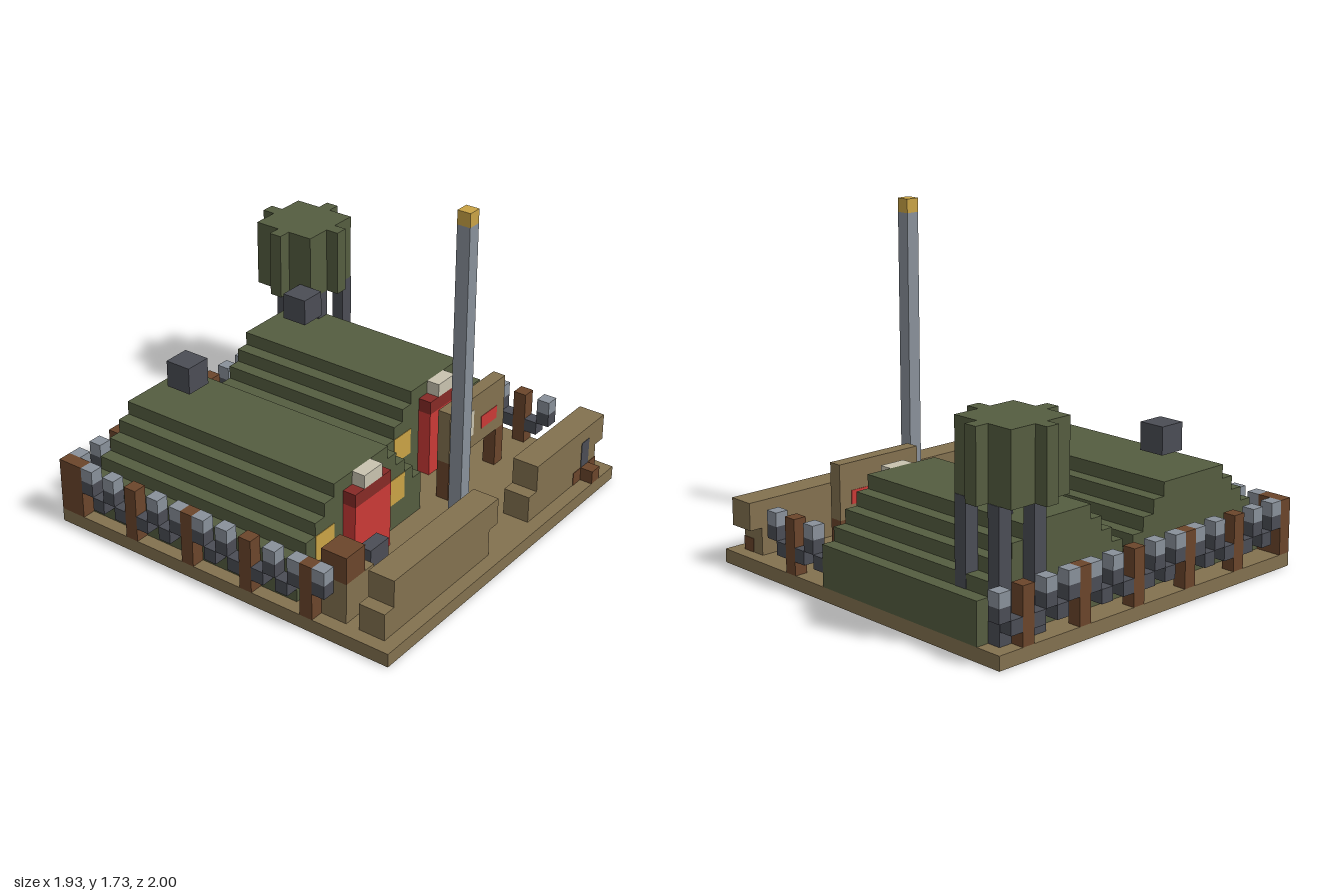
import * as THREE from 'three';

const U = 2 / 29; // edge of one block

const mat = (name, color) => {
  const m = new THREE.MeshStandardMaterial({ color });
  m.name = name;
  return m;
};

export function createModel() {
  const root = new THREE.Group();
  root.name = 'militaryCamp';
  const tan = mat('tan', 0x83714f), green = mat('olive', 0x555d40);
  const dark = mat('darkGrey', 0x4b4d55), light = mat('lightGrey', 0x89919a);
  const brown = mat('brown', 0x6b452b), red = mat('red', 0xcb3a36);
  const maroon = mat('darkRed', 0x862a26), cream = mat('cream', 0xc9c3b0);
  const yellow = mat('yellow', 0xc9a345);

  const group = (name) => {
    const g = new THREE.Group();
    g.name = name;
    root.add(g);
    return g;
  };
  // box between block coordinates; x 0..28, y from the ground, z 0..29 back to front
  const box = (parent, name, m, x0, x1, y0, y1, z0, z1) => {
    const mesh = new THREE.Mesh(
      new THREE.BoxGeometry((x1 - x0) * U, (y1 - y0) * U, (z1 - z0) * U), m);
    mesh.position.set(((x0 + x1) / 2 - 14) * U, (y0 + y1) / 2 * U, ((z0 + z1) / 2 - 14.5) * U);
    mesh.name = name;
    parent.add(mesh);
    return mesh;
  };
  const e = 0.04; // how far painted details stand proud, in blocks

  box(root, 'ground', tan, 0, 28, 0, 1, 1, 29);

  // stepped tents with door, lintel, windows and vent
  const tent = (name, x, front) => {
    const g = group(name);
    for (let i = 0; i < 5; i++) {
      box(g, 'roofStep', green, x + i, x + 14 - i, i ? 3 + i : 1, 4 + i, 3, front);
    }
    box(g, 'door', red, x + 5, x + 9, 1, 6, front, front + 1);
    box(g, 'lintel', maroon, x + 5, x + 9, 6, 7, front, front + 1);
    box(g, 'doorSign', cream, x + 6, x + 8, 7, 8, front, front + 1);
    for (const wx of [2, 10]) {
      box(g, 'window', yellow, x + wx, x + wx + 2, 3, 5, front - 0.05, front + e);
    }
    box(g, 'vent', dark, x + 6, x + 8, 9, 11, 5, 7);
  };
  tent('rightTent', 1, 21);
  tent('leftTent', 14, 18);

  // front sandbag walls, upper course shifted by one block
  for (const [x, end] of [[1, 13], [18, 27]]) {
    const g = group('sandbagWall');
    box(g, 'lowerCourse', tan, x, end, 1, 3, 26, 28);
    box(g, 'upperCourse', tan, x + 1, end + 1, 3, 5, 26, 28);
  }

  // flagpole, reaching through the ground
  const pole = group('flagpole');
  box(pole, 'pole', light, 14, 15, 1, 24, 24, 25);
  box(pole, 'poleTip', yellow, 14, 15, 24, 25, 24, 25);
  box(pole, 'poleFoot', dark, 14, 15, -0.02, 0.5, 24, 25);

  // notice board
  const board = group('noticeBoard');
  box(board, 'panel', tan, 17, 24, 4, 8, 21, 22);
  box(board, 'notice', cream, 18, 20, 5, 7, 21 - e, 22 + e);
  box(board, 'redNotice', red, 21, 23, 5, 6, 21 - e, 22 + e);
  for (const x of [17, 23]) box(board, 'boardPost', brown, x, x + 1, 1, 4, 21, 22);

  // watchtower-like tree on four trunks
  const tree = group('tree');
  for (const x of [23, 26]) for (const z of [2, 5]) {
    box(tree, 'trunk', dark, x, x + 1 + e, 1, 10, z, z + 1);
  }
  box(tree, 'canopy', green, 22, 27, 10, 15, 1, 6);
  box(tree, 'canopyAcross', green, 21, 28, 10, 15, 3, 4);
  box(tree, 'canopyAlong', green, 24, 25, 10, 15, 0, 7);

  // wire fences: posts every five blocks, zigzag wire between
  const fence = (name, from, to, firstPost, cell) => {
    const g = group(name);
    for (let i = from; i <= to; i++) {
      const [x, z] = cell(i);
      const put = (n, m, y0, y1) => box(g, n, m, x, x + 1, y0, y1, z, z + 1);
      if ((i - firstPost) % 5 === 0) put('fencePost', brown, 1, 5);
      else if (i % 2) {
        put('wireTop', light, 4, 5);
        put('wireMiddle', dark, 3, 4);
      } else put('wireLow', dark, 2, 3);
    }
  };
  fence('backFence', 0, 27, 0, (i) => [i, 1]);
  fence('rightFence', 2, 23, 2, (i) => [0, i]);
  fence('leftFence', 18, 23, 16, (i) => [27, i]);

  // stores behind the right-hand wall
  const stores = group('stores');
  box(stores, 'sandbagStack', tan, 1, 4, 1, 4, 22, 25);
  box(stores, 'crate', brown, 1, 3, 4, 6, 23, 25);
  box(stores, 'greyCrate', dark, 5, 7, 1, 4, 23, 24);

  // small stove set into the left-hand wall
  const stove = group('stove');
  box(stove, 'stoveBase', brown, 24, 27 + e, 1, 2, 27, 28 + e);
  box(stove, 'stoveStep', brown, 25, 26, 1, 2, 28, 29);
  box(stove, 'stovePipe', dark, 25, 26, 2, 4, 27, 28 + e);

  return root;
}
